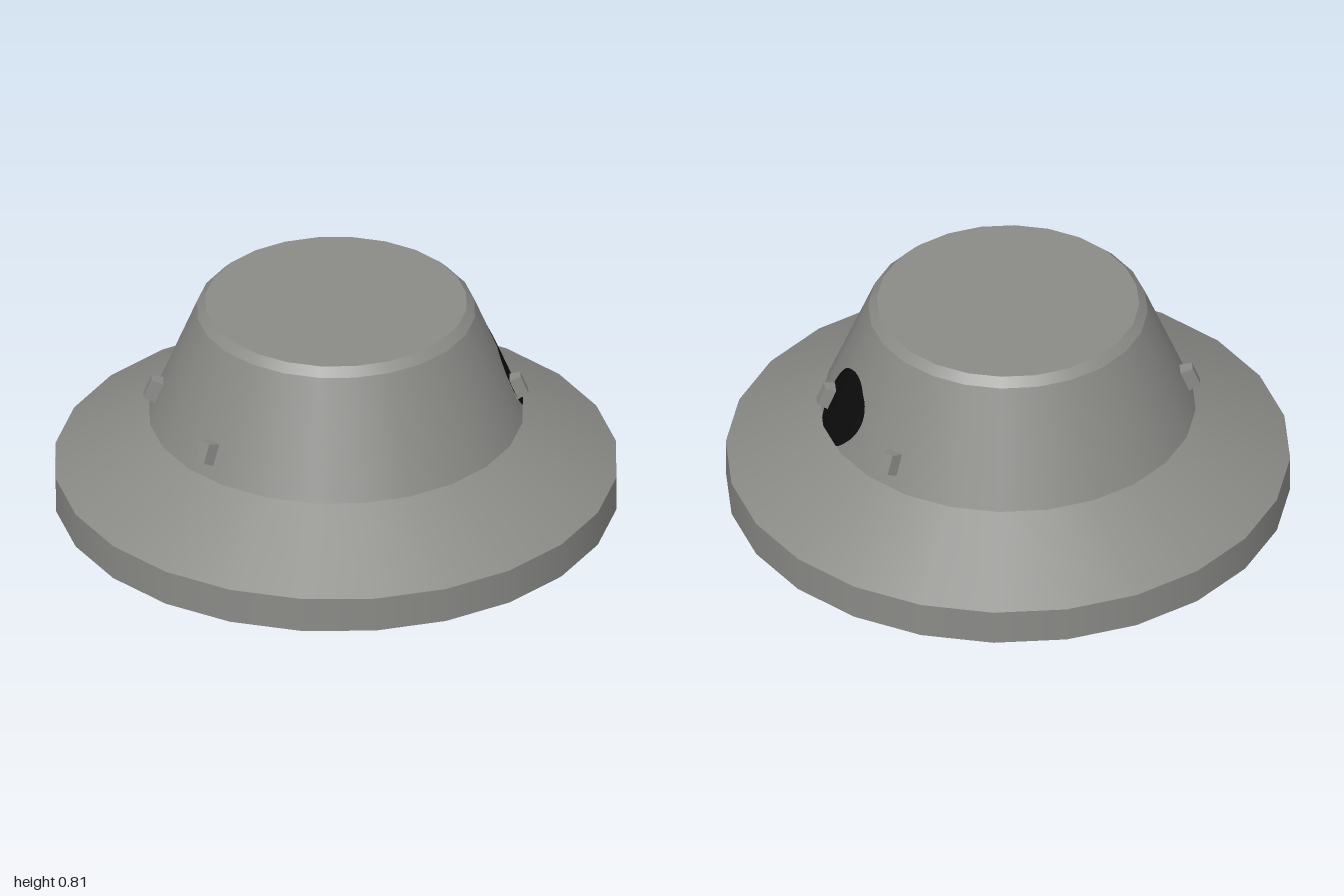
import * as THREE from 'three';
import { mergeGeometries } from 'three/addons/utils/BufferGeometryUtils.js';

const SIDES = 24;
const WALL = { r0: 0.665, y0: 0.365, r1: 0.495, y1: 0.78 };
const SLOPE = (WALL.r1 - WALL.r0) / (WALL.y1 - WALL.y0);
const wallRadius = (y) => WALL.r0 + (y - WALL.y0) * SLOPE;

// One lathe per profile segment: smooth around, sharp between bands
function turned(profile) {
  const bands = [];
  for (let i = 0; i < profile.length - 1; i++) {
    const pts = [profile[i], profile[i + 1]].map(([r, y]) => new THREE.Vector2(r, y));
    bands.push(new THREE.LatheGeometry(pts, SIDES));
  }
  return mergeGeometries(bands);
}

// x of the faceted sloping wall at a given height and depth
function wallX(y, z) {
  const apothem = wallRadius(y) * Math.cos(Math.PI / SIDES);
  let x = Infinity;
  for (let k = -5; k < 5; k++) {
    const a = ((k + 0.5) * 2 * Math.PI) / SIDES;
    x = Math.min(x, (apothem - z * Math.sin(a)) / Math.cos(a));
  }
  return x;
}

export function createModel() {
  const grey = new THREE.MeshStandardMaterial({ color: 0x8a8a87 });
  grey.name = 'grey';
  const black = new THREE.MeshStandardMaterial({ color: 0x0c0c0c, side: THREE.DoubleSide });
  black.name = 'black';

  const model = new THREE.Group();
  const add = (name, geometry, material) => {
    const mesh = new THREE.Mesh(geometry, material);
    mesh.name = name;
    model.add(mesh);
    return mesh;
  };

  // Underside hub, recess, brim, sloping wall and flat top
  add('body', turned([
    [0, 0], [0.3, 0], [0.33, 0.035], [0.33, 0.1],
    [0.87, 0.1], [0.87, 0.035], [1, 0.035], [1, 0.165],
    [WALL.r0, WALL.y0], [WALL.r1, WALL.y1], [0.465, 0.81], [0, 0.81],
  ]), grey);

  // Round dark opening lying on the wall, cut off by the brim
  const opening = new THREE.RingGeometry(0, 0.14, 48, 8);
  const p = opening.attributes.position;
  for (let i = 0; i < p.count; i++) {
    const y = Math.max(0.475 + p.getY(i), 0.367);
    const z = -0.207 - p.getX(i);
    p.setXYZ(i, wallX(y, z) + 0.004, y, z);
  }
  opening.computeVertexNormals();
  add('opening', opening, black);

  // Small lugs, tapered outwards and tilted with the wall
  const lug = new THREE.BoxGeometry(0.065, 0.09, 0.08);
  const q = lug.attributes.position;
  for (let i = 0; i < q.count; i++) {
    if (q.getZ(i) > 0) q.setXY(i, q.getX(i) * 0.6, q.getY(i) * 0.8);
  }
  const flatLug = lug.toNonIndexed();
  flatLug.computeVertexNormals();
  const lugY = 0.45;
  for (const [x, z] of [[0.39, -0.51], [0.625, -0.105], [-0.635, 0.075], [-0.39, 0.5]]) {
    const a = Math.atan2(x, z);
    const r = wallRadius(lugY);
    const mesh = add('lug', flatLug, grey);
    mesh.position.set(r * Math.sin(a), lugY, r * Math.cos(a));
    mesh.rotation.set(Math.atan(SLOPE), a, 0, 'YXZ');
  }

  return model;
}
